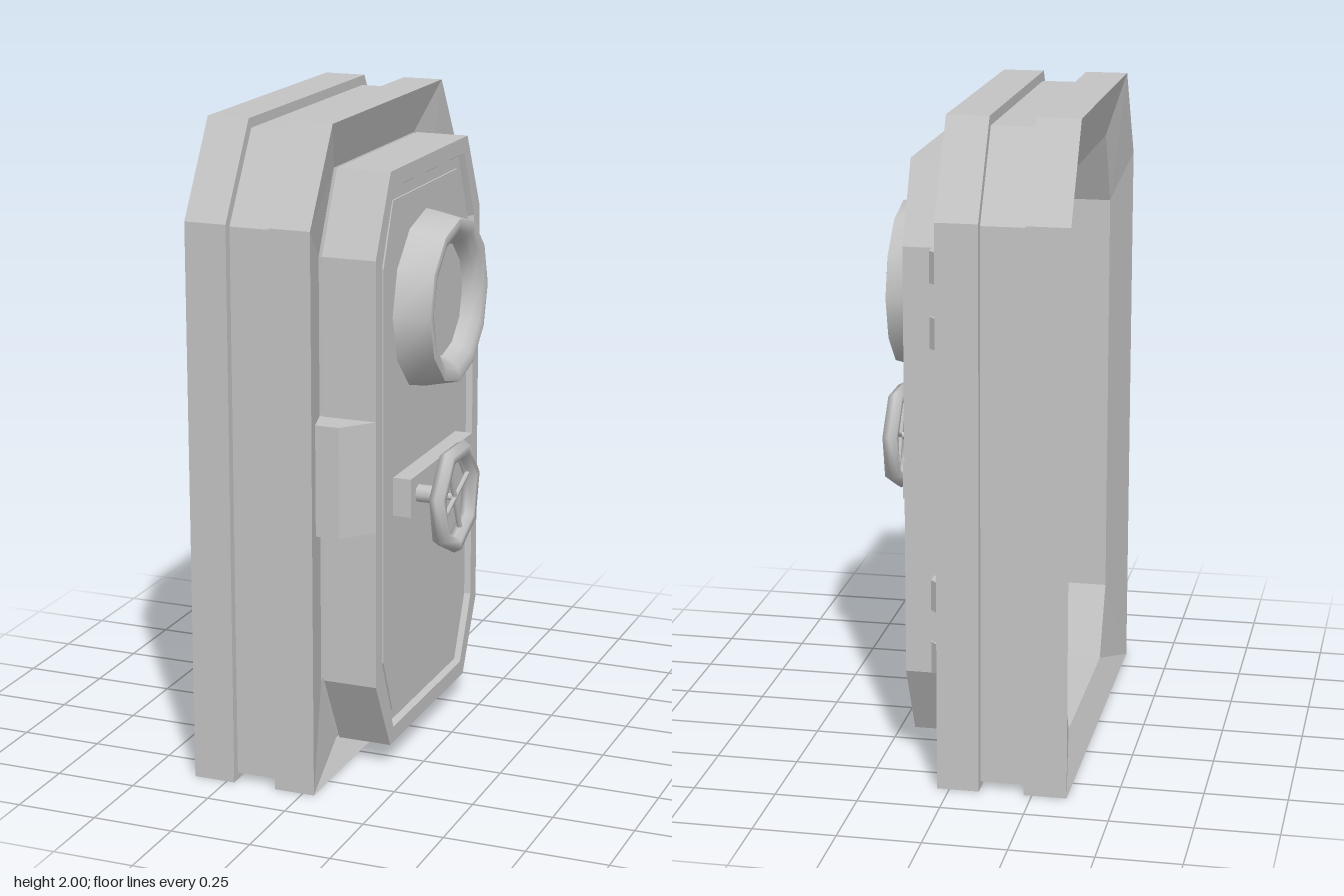
import * as THREE from 'three';
import { toCreasedNormals } from 'three/addons/utils/BufferGeometryUtils.js';

const steel = new THREE.MeshStandardMaterial({ color: 0xc4c4c4 });
steel.name = 'grey steel';

// Skin cross-section loops; each loop is [x, [[z, y], ...]]
function loft(loops) {
  const pos = [];
  const tri = (...p) => {
    const [a, b, c] = p.map(v => new THREE.Vector3(...v));
    const area = b.clone().sub(a).cross(c.clone().sub(a)).length();
    if (area > 1e-9) for (const v of p) pos.push(...v);
  };
  for (let k = 0; k < loops.length - 1; k++) {
    const [xa, A] = loops[k], [xb, B] = loops[k + 1];
    for (let i = 0; i < A.length; i++) {
      const j = (i + 1) % A.length;
      const a0 = [xa, A[i][1], A[i][0]], a1 = [xa, A[j][1], A[j][0]];
      const b0 = [xb, B[i][1], B[i][0]], b1 = [xb, B[j][1], B[j][0]];
      tri(a0, b0, b1);
      tri(a0, b1, a1);
    }
  }
  const g = new THREE.BufferGeometry();
  g.setAttribute('position', new THREE.Float32BufferAttribute(pos, 3));
  g.computeVertexNormals();
  return g;
}

// Mirror a half outline (bottom to top on +z) into a closed one
const mirrored = half => [...half, ...half.map(([z, y]) => [-z, y]).reverse()];

// Door octagon, inset by d
const octagon = d => mirrored([
  [0.325 - 0.55 * d, 0.07 + d], [0.443 - d, 0.3 + 0.45 * d],
  [0.443 - d, 1.61 - 0.45 * d], [0.325 - 0.55 * d, 1.85 - d]]);
const point = y => Array.from({ length: 8 }, () => [0, y]);

// Prism with an (x, z) outline between two heights
function prism(outline, y0, y1) {
  const shape = new THREE.Shape(outline.map(([x, z]) => new THREE.Vector2(x, -z)));
  const g = new THREE.ExtrudeGeometry(shape, { depth: y1 - y0, bevelEnabled: false });
  return g.rotateX(-Math.PI / 2).translate(0, y0, 0);
}

function add(parent, name, geometry, x = 0, y = 0, z = 0) {
  const m = new THREE.Mesh(geometry, steel);
  m.name = name;
  m.position.set(x, y, z);
  parent.add(m);
  return m;
}

// Cylinder along x
const rod = (r, length, sides) =>
  new THREE.CylinderGeometry(r, r, length, sides).rotateZ(-Math.PI / 2);

export function createModel() {
  const model = new THREE.Group();
  model.name = 'bulkheadDoor';

  // Frame: grooved outside, dished faces, open tunnel
  const outer = mirrored([[0.615, 0], [0.615, 0], [0.615, 1.72], [0.445, 2]]);
  const groove = mirrored([[0.588, 0.022], [0.588, 0.022], [0.588, 1.71], [0.428, 1.97]]);
  const rim = octagon(0), tunnel = octagon(0.025);
  add(model, 'frame', loft([
    [-0.31, tunnel], [-0.355, outer], [-0.225, outer], [-0.225, groove],
    [-0.09, groove], [-0.09, outer], [0.037, outer], [-0.01, rim],
    [0, tunnel], [-0.31, tunnel]]));

  // Door leaf with raised rim and inset panel
  add(model, 'door', loft([
    [0, point(0.96)], [0, rim], [0.168, rim], [0.168, octagon(0.05)],
    [0.15, octagon(0.06)], [0.15, octagon(0.095)],
    [0.155, octagon(0.095)], [0.155, point(0.96)]]));

  // Porthole
  const ring = new THREE.LatheGeometry(
    [[0.278, 0.15], [0.253, 0.265], [0.24, 0.268], [0.215, 0.261], [0.19, 0.238], [0.175, 0.203]]
      .map(p => new THREE.Vector2(...p)), 12).rotateZ(-Math.PI / 2);
  add(model, 'portholeRing', toCreasedNormals(ring, 0.7), 0, 1.405, 0);
  add(model, 'portholePane', rod(0.18, 0.06, 12), 0.178, 1.405, 0);

  // Lock plate and hand wheel
  add(model, 'lockPlate', new THREE.BoxGeometry(0.07, 0.12, 0.54), 0.177, 0.85, 0);
  const wheel = new THREE.Group();
  wheel.name = 'handWheel';
  wheel.position.set(0, 0.85, 0.205);
  model.add(wheel);
  add(wheel, 'wheelHub', rod(0.028, 0.06, 8), 0.23);
  add(wheel, 'wheelShaft', rod(0.011, 0.09, 8), 0.288);
  add(wheel, 'wheelRim', new THREE.TorusGeometry(0.15, 0.026, 6, 7)
    .rotateZ(-Math.PI / 2).rotateY(Math.PI / 2), 0.328);
  for (const a of [0.4, 0.4 + Math.PI / 2]) {
    add(wheel, 'wheelSpoke', new THREE.CylinderGeometry(0.008, 0.008, 0.28, 6), 0.328)
      .rotation.x = a;
  }

  // Latch housing on the opening side
  add(model, 'latchHousing', prism(
    [[-0.02, 0.43], [-0.02, 0.538], [0.09, 0.538], [0.168, 0.443], [0.168, 0.43]], 0.79, 1.13));

  // Hinges: two knuckles joined by a narrow web
  for (const y of [0.32, 1.32]) {
    const hinge = new THREE.Group();
    hinge.name = 'hinge';
    model.add(hinge);
    const knuckle = [[-0.02, -0.43], [0.08, -0.43], [0.08, -0.485], [0.04, -0.525], [-0.02, -0.525]];
    const web = [[-0.02, -0.43], [0.08, -0.43], [0.075, -0.485], [-0.02, -0.485]];
    add(hinge, 'hingeKnuckle', prism(knuckle, y, y + 0.095));
    add(hinge, 'hingeWeb', prism(web, y + 0.095, y + 0.195));
    add(hinge, 'hingeKnuckle', prism(knuckle, y + 0.195, y + 0.29));
  }
  return model;
}
